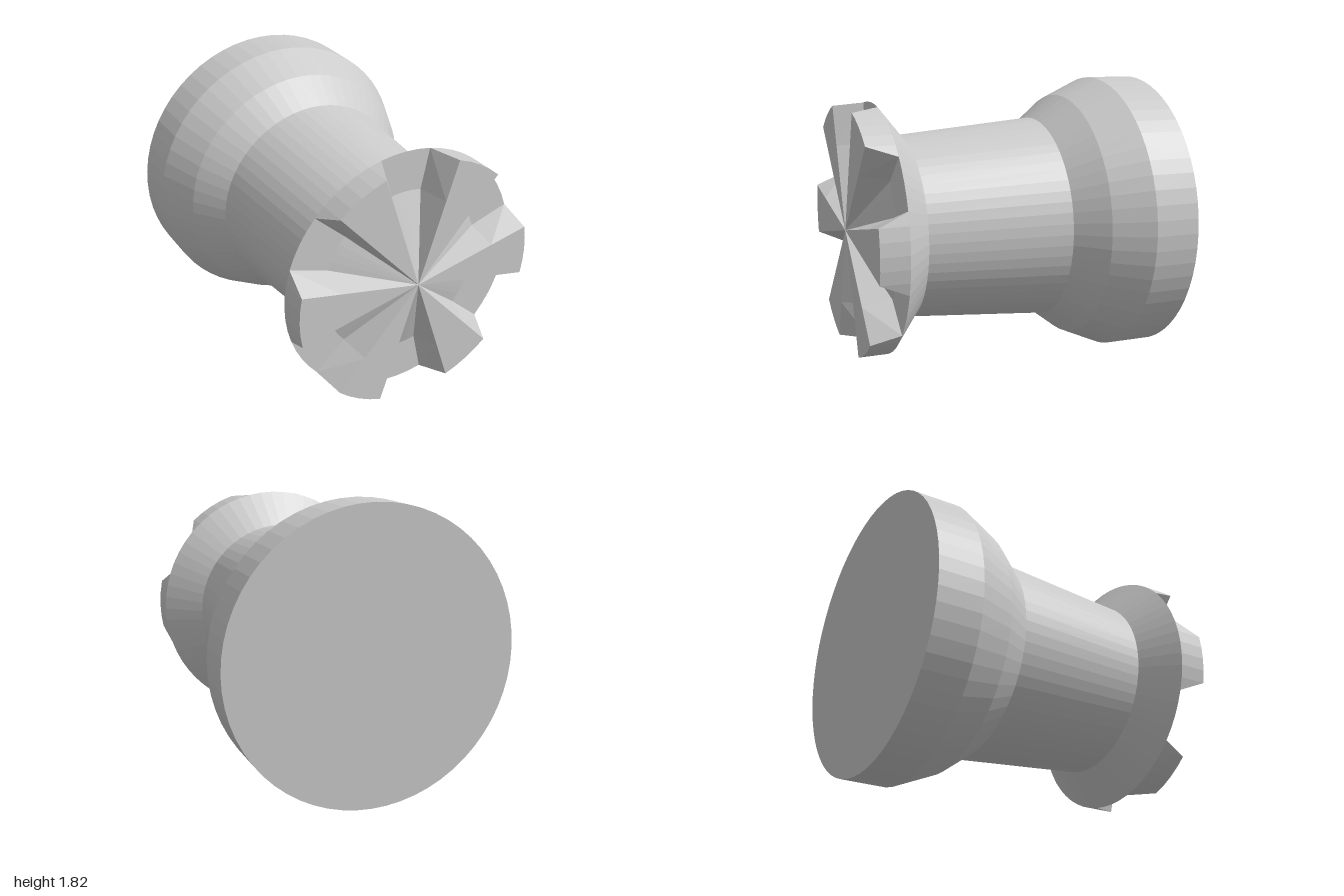
import * as THREE from 'three';

const SIDES = 60;          // facets around the axis
const RIM = 0.797;         // radius of the toothed head
const MID = 0.54;          // where the valley floor starts rising to the centre
const ROOT = 0.82, TIP = 1; // z of the valley floor and of the tooth faces
const RADIUS = 0.91;

// Turned body: base, shoulder, tapered neck and flared collar
function bodyGeometry() {
  const profile = [
    [0, -1], [RADIUS, -1], [RADIUS, -0.71], [0.8, -0.46],
    [0.655, -0.27], [0.58, 0.64], [RIM, ROOT],
  ].map(([r, z]) => new THREE.Vector2(r, z));
  return new THREE.LatheGeometry(profile, SIDES).rotateX(Math.PI / 2);
}

// Six radial teeth whose sloping flanks all meet at the centre point
function teethGeometry() {
  const position = [];
  const isTooth = (k) => { const m = k % 10; return m >= 3 && m <= 7; };
  const point = (k, r, z) => {
    const a = (k / SIDES) * Math.PI * 2;
    return [r * Math.sin(a), r * Math.cos(a), z];
  };
  const tri = (...corners) => corners.forEach((c) => position.push(...c));
  const centre = [0, 0, TIP];

  for (let k = 0; k < SIDES; k++) {
    const n = k + 1;
    const hk = isTooth(k) ? TIP : ROOT;
    const hn = isTooth(n) ? TIP : ROOT;
    const rimK = point(k, RIM, hk), rimN = point(n, RIM, hn);
    const midK = point(k, MID, hk), midN = point(n, MID, hn);
    const rootK = point(k, RIM, ROOT), rootN = point(n, RIM, ROOT);

    // inner sector
    tri(centre, midN, midK);
    // outer sector, split from the low rim corner to the high inner corner
    if (hk < hn) {
      tri(rimK, midK, midN);
      tri(rimK, midN, rimN);
    } else {
      tri(rimN, midK, midN);
      tri(rimN, rimK, midK);
    }
    // outer wall of the tooth
    if (hk > ROOT) tri(rootK, rimK, rootN);
    if (hn > ROOT) tri(rootN, rimK, rimN);
  }
  const geometry = new THREE.BufferGeometry();
  geometry.setAttribute('position', new THREE.Float32BufferAttribute(position, 3));
  geometry.computeVertexNormals();
  return geometry;
}

export function createModel() {
  const group = new THREE.Group();
  group.name = 'toothedCoupling';
  const material = new THREE.MeshStandardMaterial({ color: 0xcccccc, flatShading: true });
  const add = (name, geometry) => {
    const mesh = new THREE.Mesh(geometry, material);
    mesh.name = name;
    mesh.position.y = RADIUS;
    group.add(mesh);
  };
  add('turnedBody', bodyGeometry());
  add('faceTeeth', teethGeometry());
  return group;
}
